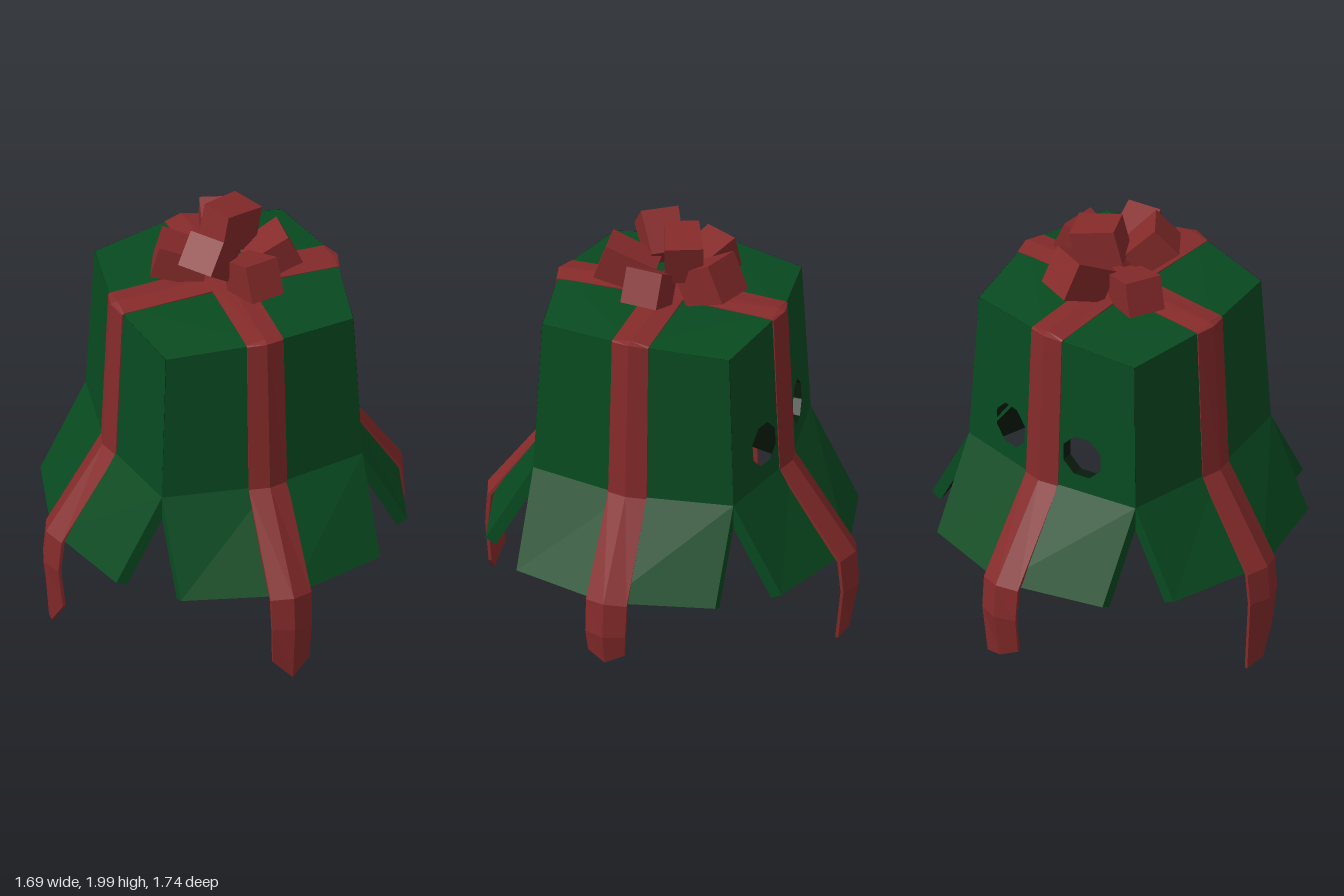
import * as THREE from 'three';
import { ConvexGeometry } from 'three/addons/geometries/ConvexGeometry.js';

function material(name, color) {
  const m = new THREE.MeshStandardMaterial({ color });
  m.name = name;
  return m;
}
const green = material('wrapping green', 0x084a20);
const dark = material('inside dark green', 0x081c0c);
const red = material('ribbon red', 0x852a2a);

const THICK = 0.05;
const lerp = THREE.MathUtils.lerp;

function mesh(name, geometry, mat, parent) {
  const m = new THREE.Mesh(geometry, mat);
  m.name = name;
  parent.add(m);
  return m;
}

// Half of a folded side: a flat outline extruded, then sheared into place.
// top and bottom give the ridge depth (mid), corner depth and corner x at a height.
// Material groups: 0 inner face, 1 outer face, 2 edges.
function halfPanel(s, top, bottom, hole, sink) {
  const shape = new THREE.Shape([
    new THREE.Vector2(0, bottom.y),
    new THREE.Vector2(s * bottom.x, bottom.y),
    new THREE.Vector2(s * top.x, top.yCorner),
    new THREE.Vector2(0, top.y),
  ]);
  if (hole) {
    const path = new THREE.Path();
    path.absellipse(s * 0.2, 1.085, 0.098, 0.103, 0, Math.PI * 2, true, Math.PI / 8);
    shape.holes.push(path);
  }
  const geo = new THREE.ExtrudeGeometry(shape, { depth: THICK, bevelEnabled: false, curveSegments: 4 });
  const p = geo.attributes.position;
  for (let i = 0; i < p.count; i++) {
    const x = p.getX(i), y = p.getY(i), inward = THICK - p.getZ(i);
    const t = (y - bottom.y) / (top.y - bottom.y);
    const mid = lerp(bottom.mid, top.mid, t), corner = lerp(bottom.corner, top.corner, t);
    const z = lerp(mid, corner, Math.abs(x) / lerp(bottom.x, top.x, t));
    p.setXYZ(i, x, y - sink * inward, z - inward);
  }
  geo.computeVertexNormals();
  const faces = geo.groups[0].count;
  geo.clearGroups();
  geo.addGroup(0, faces / 2, 0);
  geo.addGroup(faces / 2, faces / 2, 1);
  geo.addGroup(faces, p.count - faces, 2);
  return geo;
}

// Ribbon with a ridged cross-section, swept from the lid centre down one side.
// Rows: [distance out, height, half width, normal out, normal up, edge drop]
function ribbonGeometry(reach, tail, ends) {
  const rows = [
    [0, 1.673, 0.085, 0, 1, 0.006],
    [0.5, 1.661, 0.085, 0.1, 1, 0.012],
    [0.53, 1.652, 0.085, 1, 0.4, 0.022],
    [0.566, 0.91, 0.09, 1, 0.25, 0.026],
    [reach - 0.012, 0.51, 0.095, 1, 0.3, 0.036],
    [reach, 0.35, 0.093, 1, 0, 0.034],
    [tail, ends[1], 0.085, 1, 0, 0.02],
  ];
  const t = 0.014;
  const rings = rows.map(([r, y, w, nr, ny, drop], i) => {
    const last = i === rows.length - 1;
    const at = (k, depth) => [k * w, (last ? ends[k + 1] : y) - ny * depth, r - nr * depth];
    return [at(-1, drop), at(0, 0), at(1, drop), at(1, drop + t), at(0, t), at(-1, drop + t)];
  });
  const out = [];
  for (let i = 0; i < rings.length - 1; i++) {
    for (let j = 0; j < 6; j++) {
      const k = (j + 1) % 6;
      const a = rings[i][j], b = rings[i][k], c = rings[i + 1][k], d = rings[i + 1][j];
      out.push(...a, ...d, ...c, ...a, ...c, ...b);
    }
  }
  const end = rings[rings.length - 1];
  for (const j of [0, 4, 1, 0, 5, 4, 1, 3, 2, 1, 4, 3]) out.push(...end[j]);
  const geo = new THREE.BufferGeometry();
  geo.setAttribute('position', new THREE.Float32BufferAttribute(out, 3));
  geo.computeVertexNormals();
  return geo;
}

// Domed eight-cornered slab between two drops below the lid surface
function lidSlab(rim, from, to) {
  const points = [];
  for (const drop of [from, to]) {
    points.push(new THREE.Vector3(0, 1.66 - drop, 0));
    for (let i = 0; i < 8; i++) {
      const a = (i * Math.PI) / 4, corner = i % 2;
      const r = corner ? rim.corner * Math.SQRT2 : rim.mid;
      const y = (corner ? rim.yCorner : rim.y) - drop;
      points.push(new THREE.Vector3(r * Math.cos(a), y, r * Math.sin(a)));
    }
  }
  return new ConvexGeometry(points);
}

export function createModel() {
  const model = new THREE.Group();
  model.name = 'giftBox';

  const rim = { y: 1.65, yCorner: 1.62, mid: 0.518, corner: 0.437, x: 0.437 };
  const fold = { y: 0.91, yCorner: 0.91, mid: 0.553, corner: 0.468, x: 0.468 };
  const longHem = { y: 0.505, mid: 0.825, corner: 0.693, x: 0.465 };
  const shortHem = { y: 0.505, mid: 0.805, corner: 0.68, x: 0.465 };

  // Four sides, each with a wall, a splayed flap and a hanging ribbon
  const sides = [
    { name: 'front', turn: 0, hem: longHem, reach: 0.872, tail: 0.845, ends: [0.17, 0.08, 0.16] },
    { name: 'left', turn: Math.PI / 2, hem: shortHem, reach: 0.843, tail: 0.815, ends: [0.25, 0.21, 0.25] },
    { name: 'back', turn: Math.PI, hem: longHem, reach: 0.872, tail: 0.83, ends: [0.11, 0.13, 0.17], holes: true },
    { name: 'right', turn: -Math.PI / 2, hem: shortHem, reach: 0.843, tail: 0.805, ends: [0, 0.03, 0.15] },
  ];
  for (const side of sides) {
    const g = new THREE.Group();
    g.name = side.name + 'Side';
    g.rotation.y = side.turn;
    for (const s of [-1, 1]) {
      mesh('wall', halfPanel(s, rim, fold, side.holes, 0), [dark, green, dark], g);
      mesh('flap', halfPanel(s, fold, side.hem, false, 0.45), [dark, green, green], g);
    }
    mesh('ribbon', ribbonGeometry(side.reach, side.tail, side.ends), red, g);
    model.add(g);
  }

  // Slightly domed lid with a dark ceiling below it
  mesh('lid', lidSlab(rim, 0, 0.03), green, model);
  mesh('ceiling', lidSlab(rim, 0.02, 0.05), dark, model);

  // Bow of chunky loops: position, yaw and pitch in degrees, size
  const bow = new THREE.Group();
  bow.name = 'bow';
  const loops = [
    [0.2, 1.765, 0.025, -3, 25, 0.21, 0.16, 0.17],
    [0.06, 1.775, 0.18, -80, 20, 0.24, 0.17, 0.16],
    [0.06, 1.77, -0.2, 72, 27, 0.23, 0.18, 0.18],
    [-0.16, 1.738, -0.1, 155, 15, 0.23, 0.16, 0.17],
    [-0.1, 1.85, 0.09, 217, 42, 0.2, 0.16, 0.17],
    [0.05, 1.888, -0.07, 24, -14, 0.2, 0.2, 0.17],
  ];
  for (const [x, y, z, yaw, pitch, l, h, d] of loops) {
    const geo = new THREE.BoxGeometry(l, h, d);
    // loops narrow a little toward the knot
    const p = geo.attributes.position;
    for (let i = 0; i < p.count; i++) {
      if (p.getX(i) < 0) p.setXYZ(i, p.getX(i), p.getY(i) * 0.85, p.getZ(i) * 0.88);
    }
    geo.computeVertexNormals();
    const m = mesh('bowLoop', geo, red, bow);
    m.position.set(x, y, z);
    m.rotation.set(0, THREE.MathUtils.degToRad(yaw), THREE.MathUtils.degToRad(pitch), 'YZX');
  }
  model.add(bow);
  return model;
}
